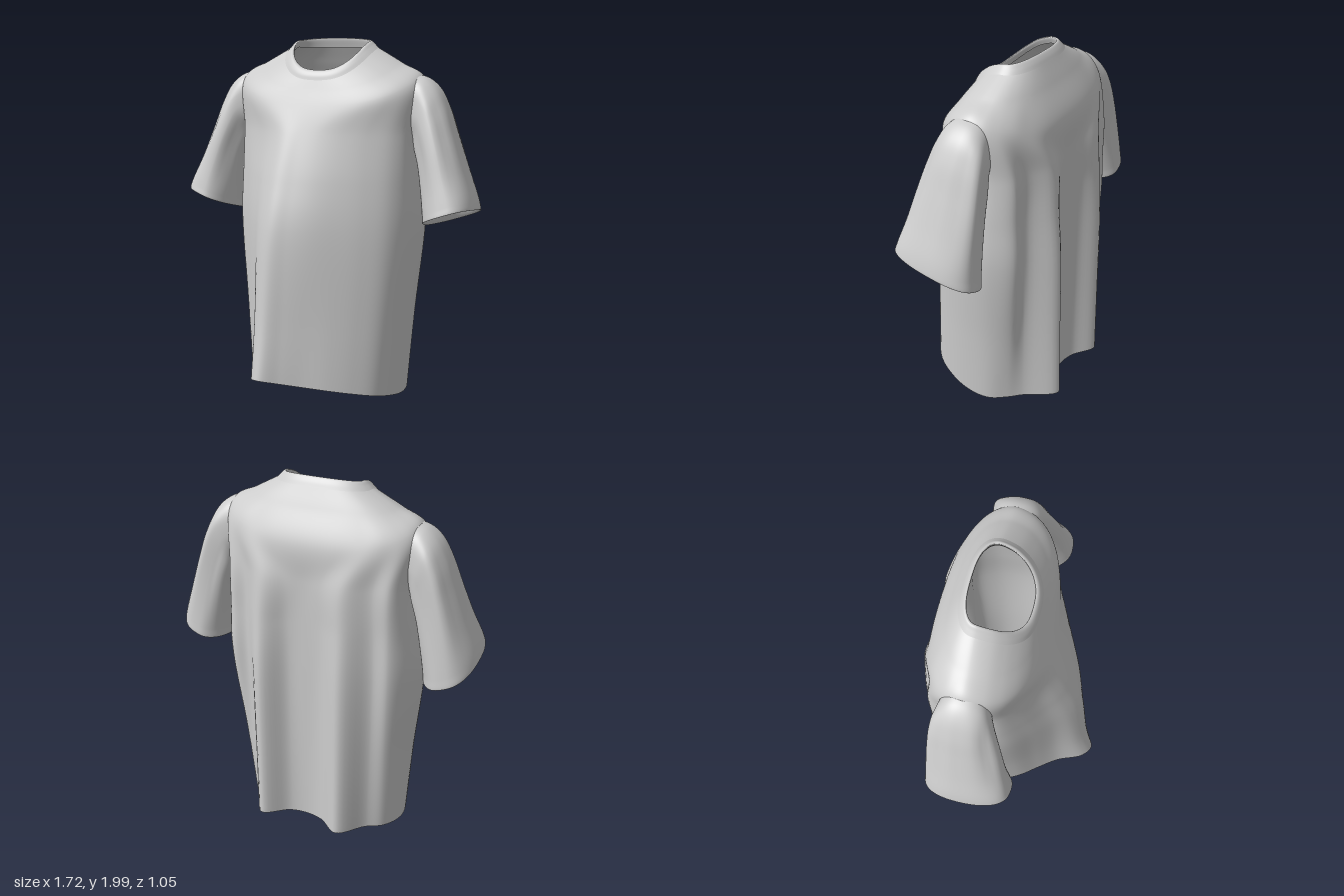
import * as THREE from 'three';

const V = (x, y, z) => new THREE.Vector3(x, y, z);

// Skin a stack of closed rings (listed bottom to top) with a smooth surface, leaving out holes
function loft(rings, around, up, inHole = () => false) {
  const loops = rings.map(r => {
    const c = new THREE.CatmullRomCurve3(r, true, 'centripetal');
    return Array.from({ length: around }, (_, i) => c.getPoint(i / around));
  });
  const points = [], idx = [];
  for (let i = 0; i < around; i++) {
    const column = new THREE.CatmullRomCurve3(loops.map(l => l[i]), false, 'centripetal');
    for (let j = 0; j <= up; j++) points.push(column.getPoint(j / up));
  }
  for (let i = 0; i < around; i++) {
    for (let j = 0; j < up; j++) {
      const a = i * (up + 1) + j, b = ((i + 1) % around) * (up + 1) + j;
      if (![a, b, a + 1, b + 1].every(k => inHole(points[k]))) idx.push(a, a + 1, b, b, a + 1, b + 1);
    }
  }
  const g = new THREE.BufferGeometry().setFromPoints(points);
  g.setIndex(idx);
  g.computeVertexNormals();
  return g;
}

// Cross-sections [x, z], from the left side round the front, the right side and the back
const HEM = [
  [.47, -.07], [.455, .06], [.4, .19], [.3, .28], [.18, .355], [.05, .415], [-.05, .47], [-.15, .525],
  [-.215, .48], [-.27, .33], [-.34, .22], [-.42, .1], [-.49, -.1], [-.48, -.2], [-.43, -.3], [-.35, -.36],
  [-.23, -.505], [-.1, -.42], [0, -.4], [.1, -.42], [.23, -.525], [.34, -.36], [.405, -.28], [.455, -.19]];
const WAIST = [
  [.54, -.12], [.51, .02], [.44, .13], [.33, .21], [.2, .28], [.07, .34], [-.04, .375], [-.14, .395],
  [-.22, .35], [-.3, .26], [-.39, .17], [-.5, .05], [-.57, -.12], [-.54, -.25], [-.46, -.36], [-.37, -.37],
  [-.23, -.475], [-.1, -.41], [0, -.4], [.1, -.41], [.23, -.495], [.36, -.37], [.45, -.37], [.52, -.26]];
const CHEST = [
  [.505, -.12], [.5, 0], [.44, .08], [.32, .145], [.2, .185], [.08, .21], [-.03, .22], [-.13, .225],
  [-.22, .2], [-.31, .155], [-.43, .08], [-.5, 0], [-.505, -.12], [-.5, -.26], [-.45, -.35], [-.36, -.365],
  [-.23, -.43], [-.1, -.405], [0, -.395], [.1, -.405], [.23, -.44], [.36, -.365], [.45, -.35], [.5, -.26]];

// The hem dips at the sides and rises towards the front
const hemY = z => z > -.15 ? .19 * ((z + .15) / .67) ** 1.4 : .05 * (-.15 - z) / .37;

const mix = (a, b, t) => a.map((p, i) => [p[0] + (b[i][0] - p[0]) * t, p[1] + (b[i][1] - p[1]) * t]);
const level = (ring, y) => ring.map(([x, z]) => V(x, y, z));
const pow = (v, e) => Math.sign(v) * Math.abs(v) ** e;

// Oval ring with its own height at the sides, front and back
function yoke(halfX, sideY, sideZ, frontY, frontZ, backY, backZ) {
  return Array.from({ length: 24 }, (_, i) => {
    const a = i / 24 * Math.PI * 2, s = Math.sin(a), k = Math.abs(s);
    const [ey, ez] = s > 0 ? [frontY, frontZ] : [backY, backZ];
    return V(halfX * pow(Math.cos(a), .78), sideY + (ey - sideY) * k ** 1.35,
      sideZ + (ez - sideZ) * k ** .85);
  });
}

// Opening in the body where a sleeve is set in
const armhole = p => Math.abs(p.x) > .4 && Math.hypot((p.y - 1.62) / .155, (p.z + .13) / .11) < 1;

// Sleeve rings: outer x,y; inner x,y; front z; back z; forward tilt; fold depth
const SLEEVE = [
  [.835, 1.145, .59, 1.05, .115, -.3, .04, 0],
  [.845, 1.12, .58, 1.015, .13, -.315, .045, 0],
  [.86, 1.11, .57, 1, .145, -.325, .045, 0],
  [.85, 1.16, .565, 1.04, .137, -.322, .035, 0],
  [.79, 1.32, .55, 1.17, .1, -.312, .015, .03],
  [.725, 1.5, .525, 1.32, .062, -.3, .005, .06],
  [.672, 1.645, .5, 1.4, .035, -.29, 0, .06],
  [.62, 1.74, .49, 1.44, .018, -.28, 0, .03],
  [.56, 1.792, .485, 1.45, .005, -.265, 0, 0],
  [.49, 1.815, .47, 1.46, -.01, -.25, 0, 0]];

function sleeveRings(side) {
  return SLEEVE.map(([ox, oy, ix, iy, zf, zb, tilt, fold]) =>
    Array.from({ length: 32 }, (_, i) => {
      const t = side * i / 32 * Math.PI * 2, cos = Math.cos(t), sin = Math.sin(t);
      const r = 1 + fold * Math.sin(5 * t + .6) * Math.abs(sin);
      // Broad along the outer edge, narrowing towards the underarm
      const c = (cos > 0 ? pow(cos, .65) : cos) * r / 2;
      const s = (cos > 0 ? pow(sin, .9) : pow(sin, 1.2)) * r / 2;
      return V(side * ((ox + ix) / 2 + (ox - ix) * c),
        (oy + iy) / 2 + (oy - iy) * c + tilt * sin, (zf + zb) / 2 + (zf - zb) * s);
    }));
}

export function createModel() {
  const group = new THREE.Group();
  const fabric = new THREE.MeshStandardMaterial({ color: 0xcccccc, side: THREE.DoubleSide });
  fabric.name = 'light grey fabric';
  const add = (name, geometry) => {
    const mesh = new THREE.Mesh(geometry, fabric);
    mesh.name = name;
    group.add(mesh);
  };

  // Draped body from hem to neckline
  const neckline = yoke(.262, 1.945, -.135, 1.78, .112, 1.952, -.262);
  add('body', loft([
    HEM.map(([x, z]) => V(x, hemY(z), z)),
    level(mix(HEM, WAIST, .4), .45),
    level(WAIST, 1),
    level(mix(WAIST, CHEST, .45), 1.25),
    level(CHEST, 1.5),
    yoke(.53, 1.795, -.13, 1.65, .165, 1.69, -.395),
    yoke(.4, 1.87, -.13, 1.73, .132, 1.86, -.312),
    neckline,
  ], 168, 84, armhole));

  // Ribbed band that rolls over into the neck opening
  add('collar', loft([
    neckline,
    yoke(.24, 1.966, -.135, 1.806, .104, 1.978, -.247),
    yoke(.222, 1.983, -.135, 1.828, .088, 1.997, -.23),
    yoke(.211, 1.98, -.135, 1.832, .074, 1.996, -.222),
    yoke(.222, 1.945, -.135, 1.79, .08, 1.945, -.235),
  ], 168, 20));

  // Short sleeves with turned-in cuffs
  add('leftSleeve', loft(sleeveRings(1), 96, 54));
  add('rightSleeve', loft(sleeveRings(-1), 96, 54));
  return group;
}
